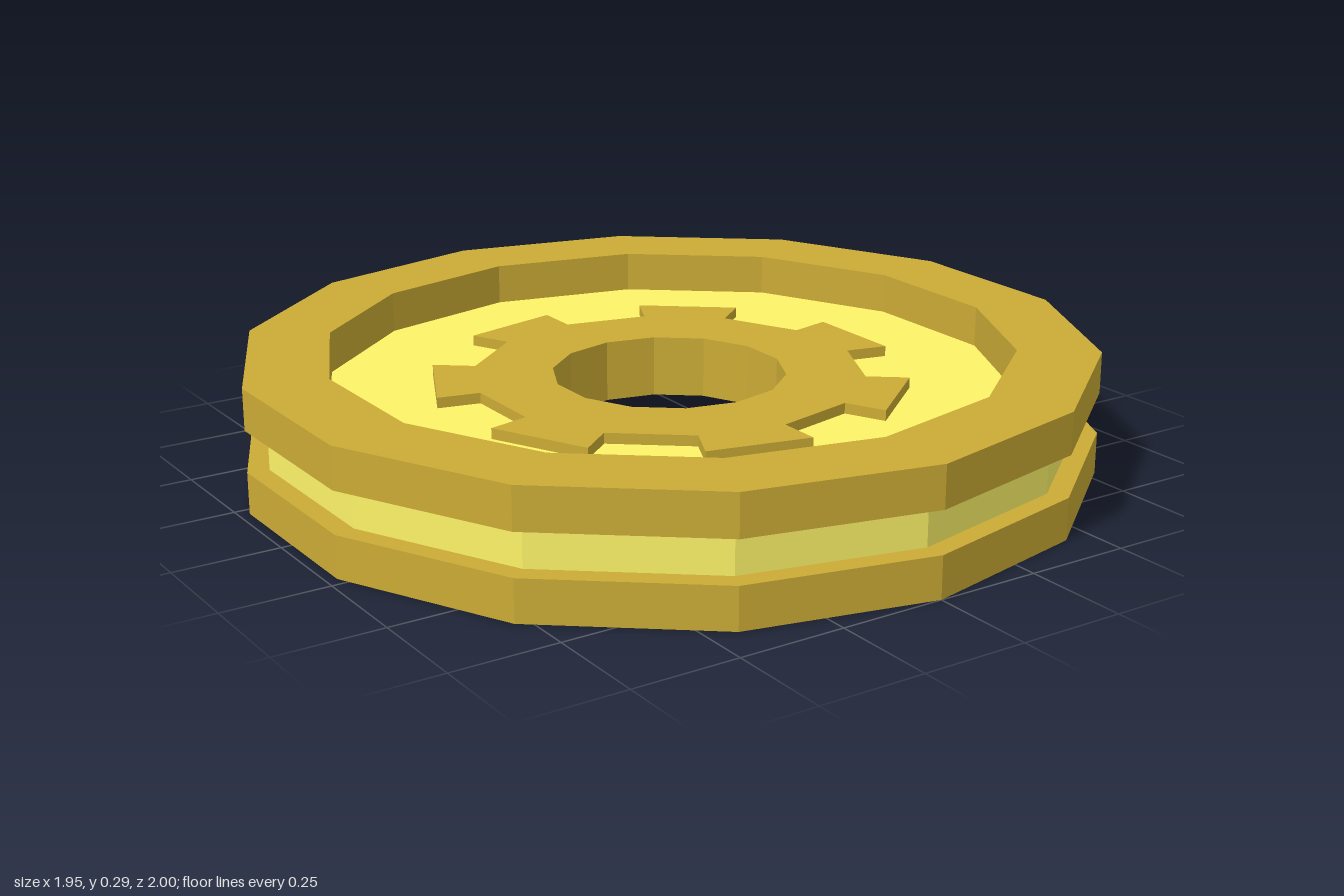
import * as THREE from 'three';

const SIDES = 14;
const LAYER = 0.098;
const HUB_RISE = 0.025;

// Closed outline with one corner per side; radiusAt(i) lists the radii at corner i
function outline(radiusAt) {
  const points = [];
  for (let i = 0; i < SIDES; i++) {
    const a = (i / SIDES) * Math.PI * 2;
    for (const r of radiusAt(i)) {
      points.push(new THREE.Vector2(Math.sin(a) * r, Math.cos(a) * r));
    }
  }
  return points;
}

// Flat plate with a polygonal hole, lying from y0 to y1
function plate(name, outer, holeRadius, y0, y1, material) {
  const shape = new THREE.Shape(outer);
  // The hole runs the opposite way round, so its walls face inward
  shape.holes.push(new THREE.Path(outline(() => [holeRadius]).reverse()));
  const geometry = new THREE.ExtrudeGeometry(shape, { depth: y1 - y0, bevelEnabled: false });
  geometry.rotateX(-Math.PI / 2);
  geometry.translate(0, y0, 0);
  const mesh = new THREE.Mesh(geometry, material);
  mesh.name = name;
  return mesh;
}

export function createModel() {
  const group = new THREE.Group();
  group.name = 'wheel';
  const bronze = new THREE.MeshStandardMaterial({ color: 0xcaab35, flatShading: true });
  const yellow = new THREE.MeshStandardMaterial({ color: 0xfdf468, flatShading: true });

  // Two rims, below and above the disc
  const rim = outline(() => [1]);
  group.add(plate('lowerRim', rim, 0.806, 0, LAYER, bronze));
  group.add(plate('upperRim', rim, 0.806, 2 * LAYER, 3 * LAYER, bronze));

  // Recessed disc between the rims
  group.add(plate('disc', outline(() => [0.95]), 0.4, LAYER, 2 * LAYER, yellow));

  // Toothed hub: every second side steps out to a tooth
  const gear = outline((i) => (i % 2 ? [0.46, 0.562] : [0.562, 0.46]));
  group.add(plate('toothedHub', gear, 0.275, LAYER - HUB_RISE, 2 * LAYER + HUB_RISE, bronze));

  return group;
}
